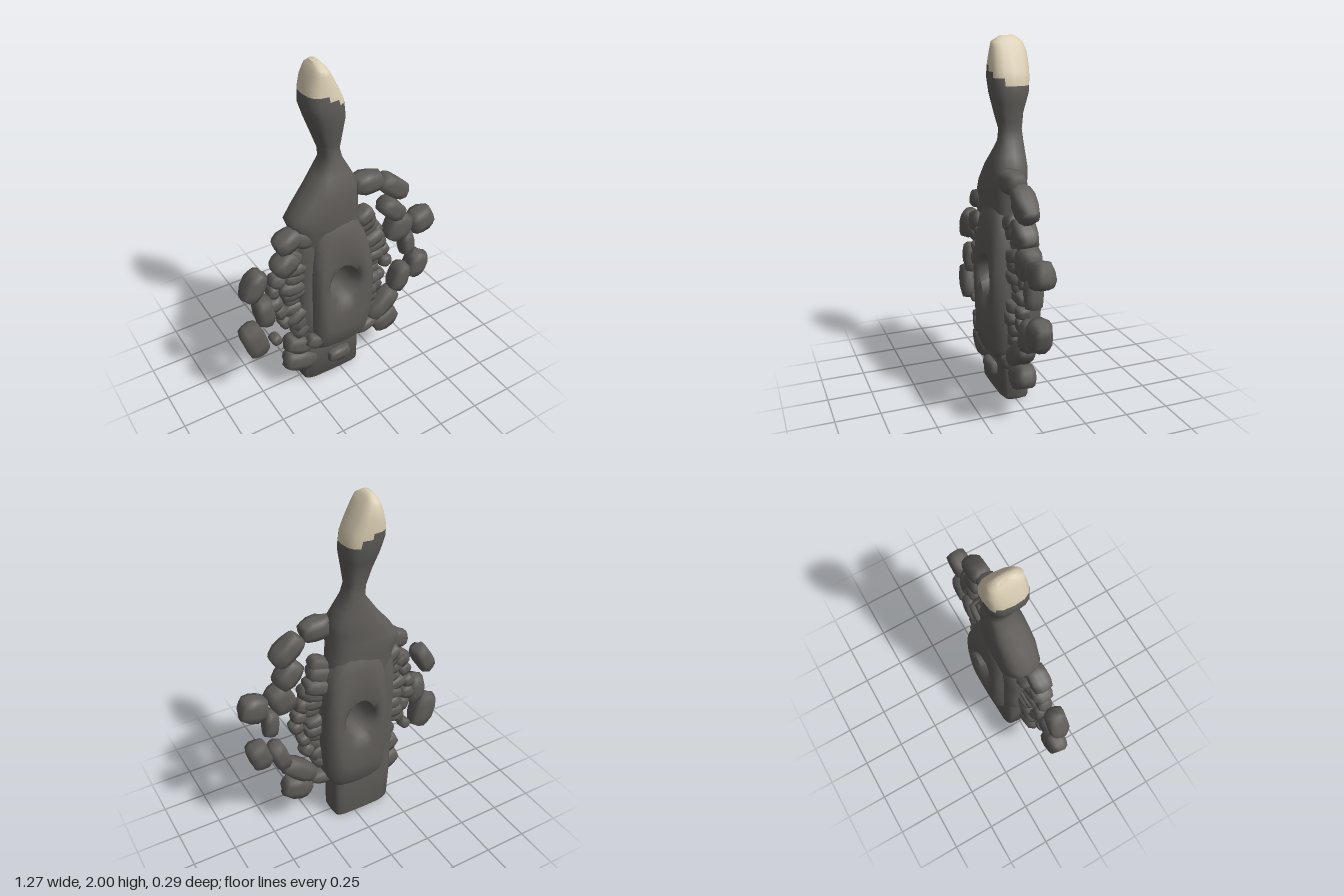
import * as THREE from 'three';
import { mergeVertices, toCreasedNormals } from 'three/addons/utils/BufferGeometryUtils.js';

const stoneMat = new THREE.MeshStandardMaterial({ color: 0x5f5c59 });
stoneMat.name = 'dark stone';
const boneMat = new THREE.MeshStandardMaterial({ color: 0xd9cdb3 });
boneMat.name = 'pale bone';

// Skin a list of point rings; isPale(centre) puts a quad in the second material group
function skin(rings, closed, isPale = () => false) {
  const n = rings[0].length, pts = rings.flat(), dark = [], pale = [];
  const add = (...ids) => {
    const c = new THREE.Vector3();
    ids.forEach((k) => c.addScaledVector(pts[k], 1 / ids.length));
    const list = isPale(c) ? pale : dark;
    for (let k = 1; k < ids.length - 1; k++) list.push(ids[0], ids[k], ids[k + 1]);
  };
  const m = rings.length;
  for (let i = 0; i < (closed ? m : m - 1); i++) {
    const a = i * n, b = ((i + 1) % m) * n;
    for (let j = 0; j < n; j++) {
      const k = (j + 1) % n;
      add(a + j, b + j, b + k, a + k);
    }
  }
  if (!closed) { // end caps
    const mid = (ring) => ring.reduce((s, p) => s.addScaledVector(p, 1 / n), new THREE.Vector3());
    const lo = pts.push(mid(rings[0])) - 1, hi = pts.push(mid(rings[m - 1])) - 1, top = (m - 1) * n;
    for (let j = 0; j < n; j++) {
      const k = (j + 1) % n;
      add(lo, j, k);
      add(hi, top + k, top + j);
    }
  }
  const g = new THREE.BufferGeometry().setFromPoints(pts);
  g.setIndex([...dark, ...pale]);
  const out = toCreasedNormals(g, 0.9);
  out.addGroup(0, dark.length, 0);
  if (pale.length) out.addGroup(dark.length, pale.length, 1);
  return out;
}

// Loft through rows of [y, xMin, xMax, zMin, zMax]; a lower power gives squarer rings
function loft(rows, steps, power, isPale) {
  const rings = [], sides = 16;
  const pow = (v) => Math.sign(v) * Math.abs(v) ** power;
  for (let i = 0; i <= (rows.length - 1) * steps; i++) {
    const k = Math.min(Math.floor(i / steps), rows.length - 2), f = i / steps - k;
    const [y, x0, x1, z0, z1] = rows[k].map((v, q) => v + (rows[k + 1][q] - v) * f);
    rings.push(Array.from({ length: sides }, (_, j) => {
      const a = (j / sides) * Math.PI * 2;
      return new THREE.Vector3((x0 + x1) / 2 + (x1 - x0) / 2 * pow(Math.cos(a)), y,
        (z0 + z1) / 2 + (z1 - z0) / 2 * pow(Math.sin(a)));
    }));
  }
  return skin(rings, false, isPale);
}

// Domed plate with a round hole: section rows are [share from hole to rim, share of depth, side]
const HOLE = new THREE.Vector2(-0.015, 0.725);
function holedPlate(outline, radius, depth) {
  const curve = new THREE.CatmullRomCurve3(outline.map(([x, y]) => new THREE.Vector3(x, y, 0)), true);
  const rim = curve.getSpacedPoints(36).slice(0, 36);
  const half = [[0, 0.5], [0.08, 0.88], [0.3, 1], [0.6, 1], [0.86, 0.9], [1, 0.55]];
  const section = [...half.map((p) => [...p, 1]), ...half.map((p) => [...p, 0]).reverse()];
  return skin(section.map(([t, s, front]) => rim.map((p) => {
    const a = Math.atan2(p.y - HOLE.y, p.x - HOLE.x);
    const x = THREE.MathUtils.lerp(HOLE.x + radius * Math.cos(a), p.x, t);
    const y = THREE.MathUtils.lerp(HOLE.y + radius * Math.sin(a), p.y, t);
    return new THREE.Vector3(x, y, depth(y)[front] * s);
  })), true);
}

let seed = 7;
const rand = () => (seed = (seed * 16807) % 2147483647) / 2147483647;

// Rounded, slightly uneven stone
function stone(parent, x, y, z, w, h, d, tilt) {
  let g = new THREE.BoxGeometry(1, 1, 1, 3, 3, 3);
  g.deleteAttribute('uv');
  g.deleteAttribute('normal');
  g = mergeVertices(g);
  const p = g.attributes.position, v = new THREE.Vector3();
  for (let i = 0; i < p.count; i++) {
    v.fromBufferAttribute(p, i);
    const faces = [v.x, v.y, v.z].filter((c) => Math.abs(c) > 0.49).length;
    v.multiplyScalar([1, 1, 0.91, 0.77][faces] * (0.96 + rand() * 0.08));
    p.setXYZ(i, v.x * w, v.y * h, v.z * d);
  }
  g.computeVertexNormals();
  const mesh = new THREE.Mesh(g, stoneMat);
  mesh.name = 'stone';
  mesh.position.set(x, y, z);
  mesh.rotation.z = THREE.MathUtils.degToRad(tilt);
  parent.add(mesh);
}

// Large stones: [x, y, width, height, tilt in degrees]
const LEFT_STONES = [
  [0.17, 1.28, 0.17, 0.11, -5], [0.34, 1.2, 0.2, 0.11, -38], [0.34, 1.05, 0.17, 0.11, -45],
  [0.39, 0.91, 0.14, 0.17, -25], [0.55, 0.9, 0.15, 0.14, 15], [0.46, 0.77, 0.08, 0.16, 5],
  [0.54, 0.58, 0.12, 0.16, -15], [0.42, 0.53, 0.1, 0.18, -20], [0.3, 0.37, 0.23, 0.11, 40],
  [0.32, 0.25, 0.18, 0.13, 22], [0.17, 0.27, 0.14, 0.07, 12],
];
const RIGHT_STONES = [
  [-0.53, 0.87, 0.1, 0.18, -28], [-0.48, 0.67, 0.1, 0.18, 5], [-0.55, 0.49, 0.13, 0.22, 18],
  [-0.42, 0.43, 0.06, 0.06, 30], [-0.32, 1.08, 0.15, 0.1, 22], [-0.34, 0.94, 0.15, 0.11, 30],
  [-0.28, 0.33, 0.16, 0.1, -25], [-0.27, 0.2, 0.2, 0.12, -20],
];

export function createModel() {
  const root = new THREE.Group();
  root.name = 'stoneMonument';
  const add = (name, geo, mat = stoneMat) => {
    const mesh = new THREE.Mesh(geo, mat);
    mesh.name = name;
    root.add(mesh);
  };
  const group = (name) => {
    const g = new THREE.Group();
    g.name = name;
    root.add(g);
    return g;
  };

  // Square foot of the pillar
  add('foot', loft([
    [0, -0.22, 0.12, -0.085, 0.06], [0.02, -0.245, 0.13, -0.09, 0.08],
    [0.24, -0.26, 0.13, -0.09, 0.085], [0.55, -0.26, 0.15, -0.09, 0.08],
  ], 1, 0.4));

  // Pillar core and the thick domed slab around the opening
  add('core', holedPlate([
    [0.15, 0.72], [0.15, 1], [0.08, 1.1], [-0.2, 1.1], [-0.26, 1], [-0.265, 0.72],
    [-0.26, 0.45], [-0.2, 0.32], [0.1, 0.32], [0.15, 0.45],
  ], 0.12, () => [-0.09, 0.09]));
  add('holedSlab', holedPlate([
    [0.19, 0.6], [0.18, 0.8], [0.145, 1], [0.06, 1.14], [-0.06, 1.18], [-0.16, 1.1],
    [-0.19, 0.95], [-0.2, 0.6], [-0.19, 0.36], [-0.16, 0.25], [0.12, 0.25], [0.17, 0.36],
  ], 0.088, (y) => {
    const s = THREE.MathUtils.smoothstep(y, 0.75, 1.2);
    return [-0.14 + 0.035 * s, 0.15 - 0.04 * s];
  }));

  // Shoulders, neck and head with a pale tip
  add('shouldersAndHead', loft([
    [0.88, -0.26, 0.14, -0.09, 0.08], [1.05, -0.26, 0.13, -0.105, 0.105],
    [1.16, -0.3, 0.12, -0.105, 0.115], [1.22, -0.265, 0.12, -0.1, 0.115],
    [1.32, -0.18, 0.115, -0.1, 0.105], [1.46, -0.075, 0.04, -0.085, 0.05],
    [1.52, -0.08, 0.025, -0.08, 0.04], [1.61, -0.115, 0.035, -0.09, 0.06],
    [1.71, -0.15, 0.05, -0.12, 0.08], [1.79, -0.175, 0.04, -0.13, 0.085],
    [1.85, -0.17, 0.015, -0.132, 0.08], [1.92, -0.15, -0.02, -0.128, 0.07],
    [1.97, -0.13, -0.05, -0.11, 0.06], [2, -0.11, -0.075, -0.07, 0.01],
  ], 2, 0.72, (c) => c.y > 1.81 - 0.45 * (c.x + 0.06) + 0.1 * c.z), [stoneMat, boneMat]);

  // Large stones floating in arcs on both sides
  for (const [name, list] of [['leftStones', LEFT_STONES], ['rightStones', RIGHT_STONES]]) {
    const g = group(name);
    for (const [x, y, w, h, tilt] of list) stone(g, x, y, 0.045, w, h, Math.min(0.11, w + 0.01), tilt);
  }

  // Two stones resting on the front
  const front = group('frontStones');
  stone(front, -0.03, 0.16, 0.09, 0.14, 0.08, 0.07, 0);
  stone(front, -0.2, 0.35, 0.1, 0.09, 0.08, 0.07, -30);

  // Small rubble fanning out from the pillar: a dense inner row and a sparse outer row
  for (const side of [1, -1]) {
    const g = group(side > 0 ? 'leftRubble' : 'rightRubble');
    for (const [count, low, high, reach, size] of [[12, 0.43, 1.07, 0.2, 0.13], [6, 0.52, 0.93, 0.3, 0.08]]) {
      for (let i = 0; i < count; i++) {
        const u = i / (count - 1);
        const x = -0.045 + side * (reach + 0.06 * Math.sin(Math.PI * u) + (rand() - 0.5) * 0.03);
        const y = low + (high - low) * u + (rand() - 0.5) * 0.02;
        const w = size * (0.8 + rand() * 0.4), h = 0.06 + rand() * 0.03;
        stone(g, x, y, 0.02 + (rand() - 0.5) * 0.05, w, h, 0.05 + w * 0.4, side * (u - 0.5) * 80 + (rand() - 0.5) * 30);
      }
    }
  }
  return root;
}
